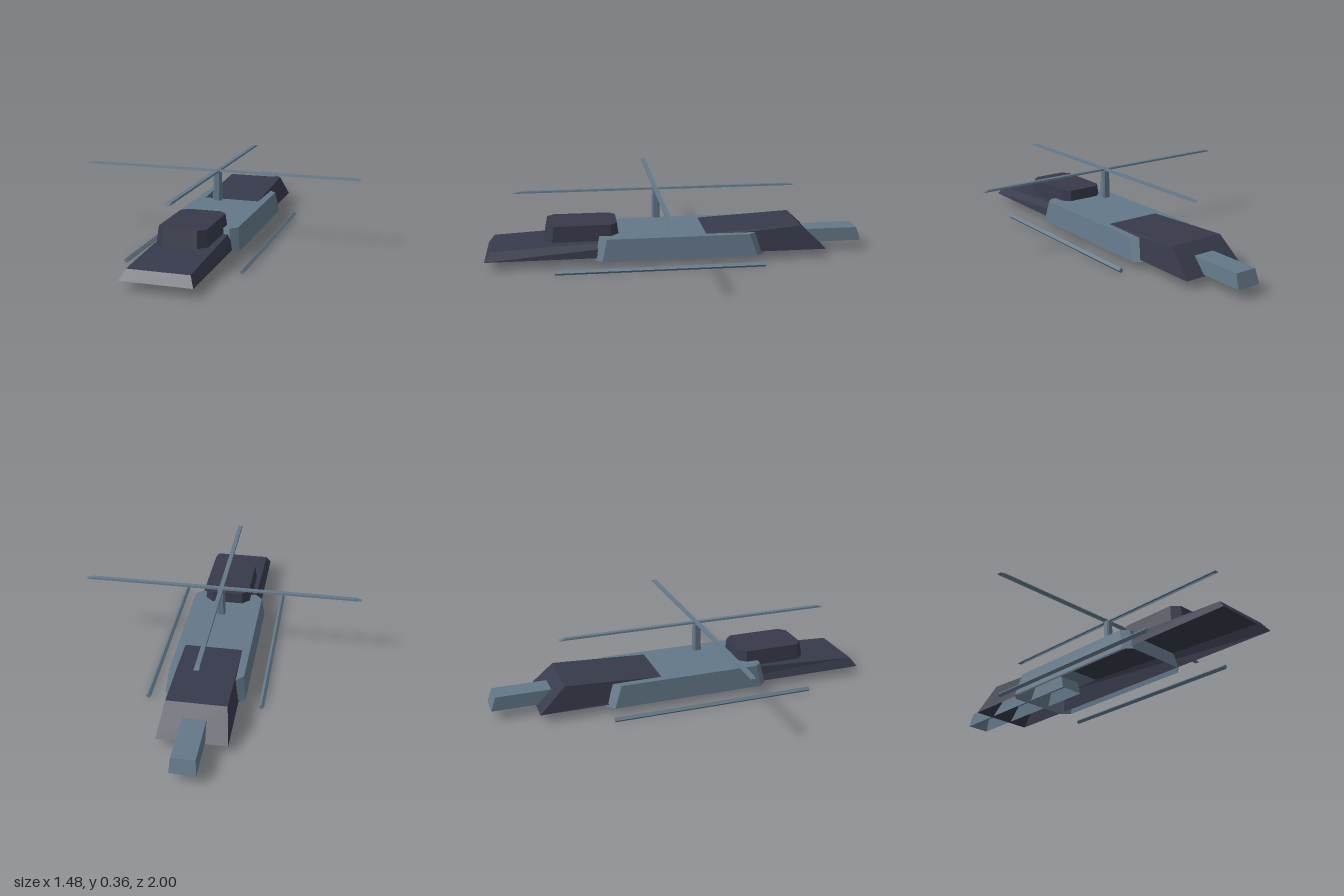
import * as THREE from 'three';

// Footprint ring, counter-clockwise from above, with optional cut corners
function ring({ x, back, front, y, cut = 0 }) {
  const height = typeof y === 'function' ? y : () => y;
  const points = cut > 0
    ? [[x - cut, front], [x, front - cut], [x, back + cut], [x - cut, back],
       [cut - x, back], [-x, back + cut], [-x, front - cut], [cut - x, front]]
    : [[x, front], [x, back], [-x, back], [-x, front]];
  return points.map(([px, pz]) => [px, height(pz), pz]);
}

// Tapered shell: sloping sides and a lid, open underneath
function shell(name, material, bottom, top) {
  const low = ring(bottom), high = ring(top), positions = [];
  const triangle = (a, b, c) => positions.push(...a, ...b, ...c);
  const n = low.length;
  for (let i = 0; i < n; i++) {
    const j = (i + 1) % n;
    triangle(low[i], low[j], high[j]);
    triangle(low[i], high[j], high[i]);
  }
  for (let i = 1; i < n - 1; i++) triangle(high[0], high[i], high[i + 1]);
  const geometry = new THREE.BufferGeometry();
  geometry.setAttribute('position', new THREE.Float32BufferAttribute(positions, 3));
  geometry.computeVertexNormals();
  const mesh = new THREE.Mesh(geometry, material);
  mesh.name = name;
  return mesh;
}

export function createModel() {
  const group = new THREE.Group();
  group.name = 'helicopter';
  const steel = new THREE.MeshStandardMaterial({ color: 0x647889, flatShading: true, side: THREE.DoubleSide });
  steel.name = 'steel blue';
  const navy = new THREE.MeshStandardMaterial({ color: 0x373a4b, flatShading: true, side: THREE.DoubleSide });
  navy.name = 'dark navy';

  // Long wedge hull, its roof climbing toward the back
  const roof = (z) => 0.09 + (0.97 - z) * 0.0497;
  group.add(shell('hull', navy,
    { x: 0.174, back: -0.775, front: 1.0, y: 0.043 },
    { x: 0.15, back: -0.64, front: 0.965, y: roof }));

  // Wide middle body
  group.add(shell('body', steel,
    { x: 0.205, back: -0.44, front: 0.445, y: 0.032, cut: 0.04 },
    { x: 0.19, back: -0.395, front: 0.415, y: 0.145, cut: 0.035 }));

  // Cockpit block
  group.add(shell('cockpit', navy,
    { x: 0.127, back: 0.311, front: 0.697, y: 0.12, cut: 0.04 },
    { x: 0.118, back: 0.321, front: 0.682, y: 0.202, cut: 0.035 }));

  // Tail boom
  group.add(shell('tailBoom', steel,
    { x: 0.064, back: -1.0, front: -0.17, y: 0.049 },
    { x: 0.058, back: -0.975, front: -0.19, y: 0.12 }));

  // Rotor mast and two crossed blades
  const hub = 0.11;
  group.add(shell('rotorMast', steel,
    { x: 0.022, back: hub - 0.02, front: hub + 0.022, y: 0.205, cut: 0.008 },
    { x: 0.018, back: hub - 0.017, front: hub + 0.018, y: 0.354, cut: 0.006 }));
  const rotor = new THREE.Group();
  rotor.name = 'rotor';
  rotor.position.set(0, 0.355, hub);
  for (let i = 0; i < 2; i++) {
    const blade = shell('rotorBlade', steel,
      { x: 0.013, back: -0.738, front: 0.738, y: 0 },
      { x: 0.011, back: -0.705, front: 0.705, y: 0.009 });
    blade.rotation.y = i * Math.PI / 2;
    rotor.add(blade);
  }
  group.add(rotor);

  // Landing skids: four-sided bars resting on an edge
  for (const side of [-1, 1]) {
    const skid = new THREE.Mesh(new THREE.CylinderGeometry(0.013, 0.013, 1.07, 4), steel);
    skid.name = side > 0 ? 'leftSkid' : 'rightSkid';
    skid.rotation.x = Math.PI / 2;
    skid.position.set(side * 0.288, 0.013, 0.11);
    group.add(skid);
  }
  return group;
}
